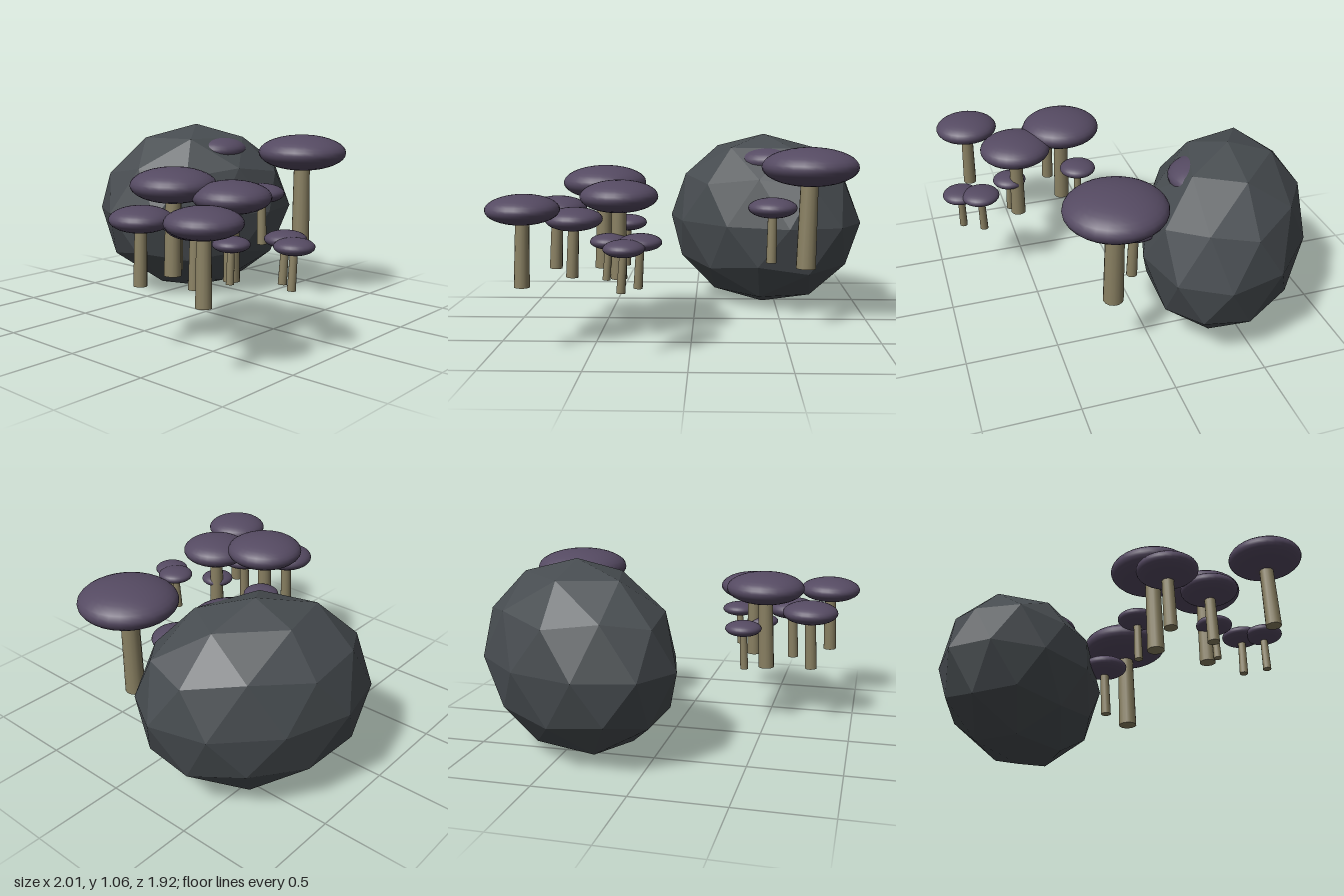
import * as THREE from 'three';

const capMaterial = new THREE.MeshStandardMaterial({ color: 0x554a62 });
capMaterial.name = 'dusky purple';
const stemMaterial = new THREE.MeshStandardMaterial({ color: 0x898062 });
stemMaterial.name = 'pale olive';
const rockMaterial = new THREE.MeshStandardMaterial({ color: 0x474c50, flatShading: true });
rockMaterial.name = 'slate grey';

const GROUND = 0.345; // height of the stem feet

// Cap centre x, y, z, cap radius, cap half height, stem radius, foot x, foot z
const MUSHROOMS = [
  [0.64, 0.905, 0.21, 0.265, 0.107, 0.055, 0.625, 0.22],
  [0.45, 0.66, 0.05, 0.14, 0.058, 0.03, 0.445, 0.06],
  [0.46, 0.905, -0.335, 0.2, 0.083, 0.042, 0.45, -0.33],
  [-0.48, 0.82, 0.21, 0.225, 0.092, 0.046, -0.495, 0.215],
  [-0.37, 0.775, 0.51, 0.202, 0.084, 0.043, -0.375, 0.515],
  [-0.82, 0.732, 0.73, 0.183, 0.075, 0.039, -0.832, 0.74],
  [-0.74, 0.68, 0.24, 0.16, 0.066, 0.035, -0.755, 0.245],
  [-0.61, 0.652, 0.485, 0.15, 0.061, 0.032, -0.624, 0.49],
  [-0.24, 0.575, 0.75, 0.107, 0.043, 0.023, -0.254, 0.745],
  [-0.31, 0.562, 0.855, 0.102, 0.042, 0.022, -0.327, 0.855],
  [-0.42, 0.547, 0.55, 0.097, 0.04, 0.021, -0.435, 0.555],
  [-0.365, 0.588, 0.14, 0.106, 0.044, 0.023, -0.375, 0.142],
];

function createMushroom([x, y, z, radius, half, stemRadius, footX, footZ]) {
  const mushroom = new THREE.Group();
  mushroom.name = 'mushroom';

  const cap = new THREE.Mesh(new THREE.SphereGeometry(1, 28, 18), capMaterial);
  cap.name = 'cap';
  cap.scale.set(radius, half, radius);
  cap.position.set(x, y, z);

  // Slightly tapered stem leaning from its foot to the cap centre
  const foot = new THREE.Vector3(footX, GROUND, footZ);
  const lean = cap.position.clone().sub(foot);
  const stem = new THREE.Mesh(
    new THREE.CylinderGeometry(stemRadius * 0.87, stemRadius, lean.length(), 14), stemMaterial);
  stem.name = 'stem';
  stem.position.copy(foot).addScaledVector(lean, 0.5);
  stem.quaternion.setFromUnitVectors(new THREE.Vector3(0, 1, 0), lean.normalize());

  mushroom.add(cap, stem);
  return mushroom;
}

export function createModel() {
  const model = new THREE.Group();
  model.name = 'mushroomsAndBoulder';

  // Faceted boulder, an icosphere standing on one corner
  const geometry = new THREE.IcosahedronGeometry(1, 1);
  geometry.rotateX(-Math.atan2(1 + Math.sqrt(5), 2));
  geometry.rotateY(-Math.PI / 2);
  geometry.scale(0.626, 0.53, 0.447);
  const boulder = new THREE.Mesh(geometry, rockMaterial);
  boulder.name = 'boulder';
  boulder.position.set(0.42, 0.53, -0.465);
  boulder.rotation.y = -0.535;
  model.add(boulder);

  for (const row of MUSHROOMS) model.add(createMushroom(row));
  return model;
}
